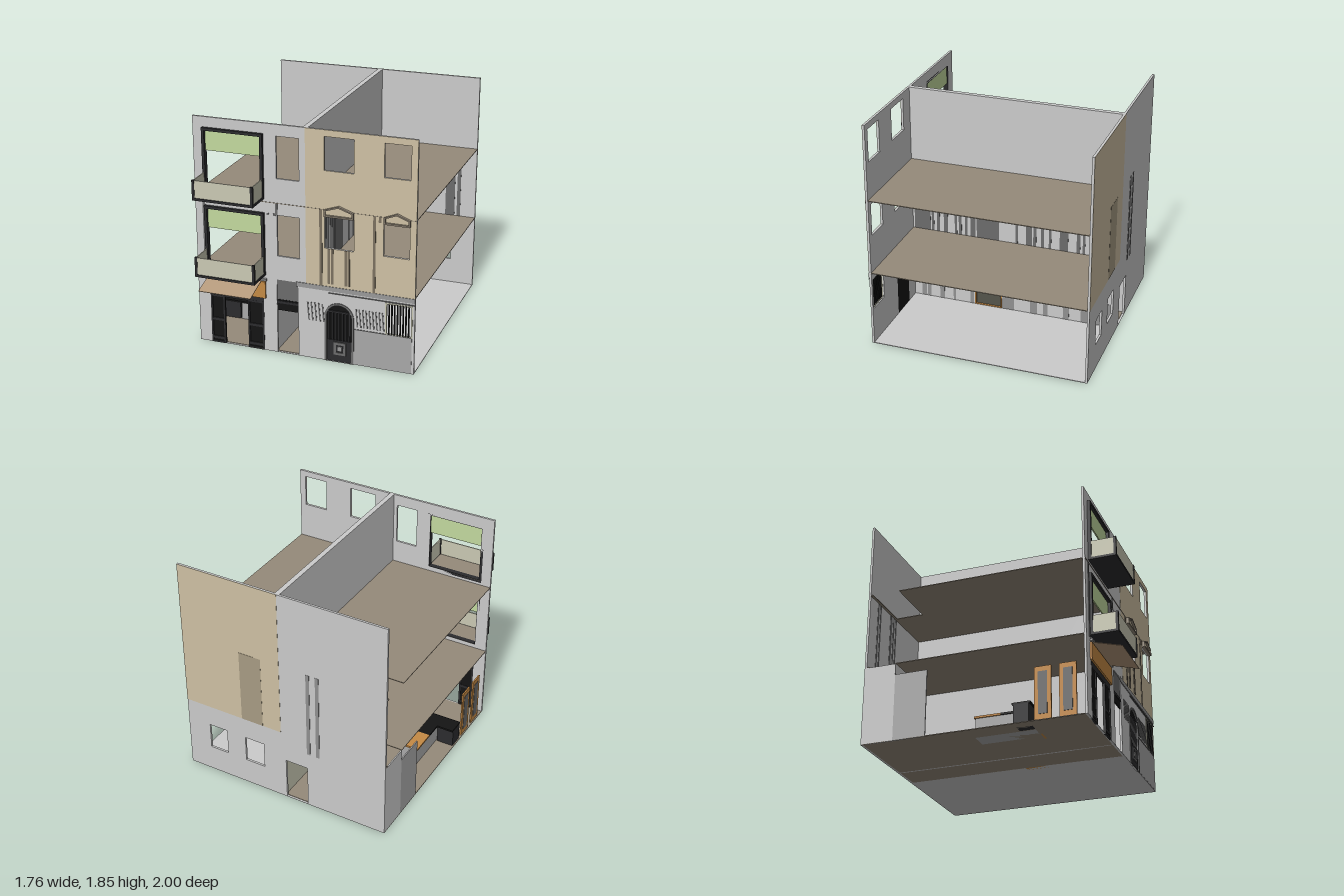
import * as THREE from 'three';

const GREY = 0xcccccc, TAN = 0xcfc1a4, BROWN = 0x958a7a, DARK = 0x2c2c2e, BLACK = 0x141414;
const GREEN = 0xc3da9f, CREAM = 0xcac9b4, ORANGE = 0xc58a45, SHADE = 0x6c6c6c, OLIVE = 0x54544a;
const mats = {};
const mat = (c) => (mats[c] ??= new THREE.MeshStandardMaterial({ color: c, side: THREE.DoubleSide, flatShading: true }));

export function createModel() {
  const model = new THREE.Group();

  const add = (name, geo, color, parent = model) => {
    const m = new THREE.Mesh(geo, mat(color));
    m.name = name;
    parent.add(m);
    return m;
  };
  // box given by its min and max on each axis
  const box = (name, x0, x1, y0, y1, z0, z1, color = GREY, parent = model) => {
    const m = add(name, new THREE.BoxGeometry(x1 - x0, y1 - y0, z1 - z0), color, parent);
    m.position.set((x0 + x1) / 2, (y0 + y1) / 2, (z0 + z1) / 2);
    return m;
  };
  const rectPath = (x0, x1, y0, y1, Type = THREE.Path) => {
    const p = new Type();
    p.moveTo(x0, y0); p.lineTo(x1, y0); p.lineTo(x1, y1); p.lineTo(x0, y1); p.closePath();
    return p;
  };
  const archPath = (x, r, y0, yc, Type = THREE.Path) => {
    const p = new Type();
    p.moveTo(x - r, y0); p.lineTo(x + r, y0); p.lineTo(x + r, yc);
    p.absarc(x, yc, r, 0, Math.PI, false);
    p.closePath();
    return p;
  };
  const extrude = (name, shape, z0, depth, color, parent = model) => {
    const m = add(name, new THREE.ExtrudeGeometry(shape, { depth, bevelEnabled: false, curveSegments: 12 }), color, parent);
    m.position.z = z0;
    return m;
  };
  // upright wall with openings
  const wall = (name, [x0, x1, y0, y1], holes, z0, depth, color) => {
    const s = rectPath(x0, x1, y0, y1, THREE.Shape);
    s.holes.push(...holes);
    return extrude(name, s, z0, depth, color);
  };
  const rects = (list) => list.map((r) => rectPath(...r));
  const frame = (name, x0, x1, y0, y1, t, z0, depth, color, parent) => {
    const s = rectPath(x0, x1, y0, y1, THREE.Shape);
    s.holes.push(rectPath(x0 + t, x1 - t, y0 + t, y1 - t));
    return extrude(name, s, z0, depth, color, parent);
  };

  // front wall: grey body with a tan skin on the upper half of the +x house
  const tanWindows = [[0.17, 0.4, 1.54, 1.8], [0.63, 0.83, 1.54, 1.8], [0.17, 0.4, 0.93, 1.19], [0.63, 0.83, 0.93, 1.19]];
  const greyOpenings = [
    [-0.78, -0.33, 1.28, 1.75], [-0.78, -0.33, 0.66, 1.13],
    [-0.21, -0.03, 1.43, 1.76], [-0.21, -0.03, 0.81, 1.14],
    [-0.78, -0.33, 0.002, 0.45], [-0.22, -0.045, 0.002, 0.615], [0.66, 0.855, 0.3, 0.555],
  ];
  wall('frontWall', [-0.88, 0.88, 0, 1.85], [...rects([...tanWindows, ...greyOpenings]), archPath(0.285, 0.112, 0.002, 0.375)], 0.745, 0.018, GREY);
  wall('frontTanRender', [0.02, 0.88, 0.62, 1.85], rects(tanWindows), 0.763, 0.002, TAN);

  // back wall with two windows and the passage door
  wall('backWall', [-0.88, 0.88, 0, 1.85], rects([[0.52, 0.68, 0.22, 0.44], [0.18, 0.35, 0.22, 0.44], [-0.21, -0.02, 0.002, 0.36]]), -0.998, 0.018, GREY);
  box('backTanRender', 0.02, 0.88, 0.62, 1.85, -1, -0.998, TAN);

  // party wall, turned to run along z, with a doorway
  const party = wall('partyWall', [-0.745, 0.98, 0, 1.85], rects([[-0.205, 0.02, 0.002, 0.36]]), 0, 0.04, GREY);
  party.rotation.y = Math.PI / 2;
  frame('sideDoorFrame', -0.21, 0.025, 0, 0.365, 0.01, 0, 0.044, ORANGE).rotation.y = Math.PI / 2;
  box('sideDoor', 0.012, 0.026, 0.002, 0.36, -0.02, 0.205, OLIVE);
  box('passageLining', -0.003, -0.001, 0, 0.6, -0.97, -0.03, CREAM);
  box('passageWall', -0.245, -0.23, 0, 0.62, -0.98, 0.745);

  // ground slab and two upper floors with a stair opening in the back corner
  box('shopFloor', -0.88, 0.02, 0, 0.006, -0.98, 0.745, BROWN);
  box('houseFloor', 0.02, 0.88, 0, 0.006, -0.98, 0.745);
  for (const y of [0.62, 1.235]) {
    const s = new THREE.Shape();
    [[-0.88, -0.745], [0.88, -0.745], [0.88, 0.98], [-0.88, 0.98], [-0.88, 0.96], [-0.45, 0.96], [-0.45, 0.74], [-0.88, 0.74]]
      .forEach(([x, z], i) => (i ? s.lineTo(x, z) : s.moveTo(x, z)));
    const f = extrude('upperFloor', s, 0, 0.006, BROWN);
    f.rotation.x = -Math.PI / 2;
    f.position.y = y;
  }

  // balconies, each with its dark window frame and green blind
  for (const y of [0.64, 1.26]) {
    const b = new THREE.Group();
    b.name = 'balcony';
    b.position.y = y;
    model.add(b);
    frame('windowFrame', -0.8, -0.31, 0, 0.51, 0.022, 0.745, 0.043, DARK, b);
    box('blind', -0.778, -0.332, 0.33, 0.488, 0.755, 0.765, GREEN, b);
    box('balconyBase', -0.8, -0.31, 0, 0.018, 0.76, 0.98, DARK, b);
    box('balconyFloor', -0.78, -0.33, 0.018, 0.021, 0.745, 0.965, BROWN, b);
    box('frontPanel', -0.78, -0.33, 0.02, 0.158, 0.968, 0.976, CREAM, b);
    for (const x of [-0.8, -0.33]) {
      box('cornerPost', x, x + 0.02, 0, 0.16, 0.96, 0.98, DARK, b);
      box('sidePanel', x + 0.006, x + 0.014, 0.018, 0.158, 0.785, 0.962, CREAM, b);
    }
  }

  // pediments over the first-floor windows of the tan house
  for (const [x0, x1] of [[0.17, 0.4], [0.635, 0.835]]) {
    const outline = (t, Type) => {
      const p = new Type();
      p.moveTo(x0 + t, 1.187 + t); p.lineTo(x1 - t, 1.187 + t); p.lineTo(x1 - t, 1.238 - t / 2);
      p.lineTo((x0 + x1) / 2, 1.278 - t); p.lineTo(x0 + t, 1.238 - t / 2); p.closePath();
      return p;
    };
    const s = outline(0, THREE.Shape);
    s.holes.push(outline(0.012, THREE.Path));
    extrude('pedimentFrame', s, 0.76, 0.028, BROWN);
    extrude('pedimentField', outline(0.01, THREE.Shape), 0.765, 0.004, TAN);
  }

  // pipes, string course and ground-floor cornice
  for (const [x, y0, y1, w] of [[-0.82, 0.62, 1.235, 0.022], [-0.222, 1.14, 1.235, 0.018], [0.13, 0.62, 1.235, 0.022],
    [0.55, 0.62, 1.235, 0.02], [0.592, 1.19, 1.235, 0.02], [0.195, 0.645, 0.93, 0.018], [0.222, 0.645, 0.93, 0.018],
    [0.33, 0.645, 0.93, 0.018], [0.352, 0.645, 0.93, 0.018]]) {
    box('wallPipe', x, x + w, y0, y1, 0.764, 0.768, x > 0 ? 0x7b7060 : SHADE);
  }
  for (const x of [-0.29, -0.24]) box('pipeBracket', x, x + 0.018, 1.135, 1.15, 0.76, 0.77, SHADE);
  box('stringCourse', -0.88, 0.88, 1.234, 1.238, 0.763, 0.767, BROWN);
  box('cornice', -0.06, 0.88, 0.585, 0.622, 0.763, 0.769, 0x999999);
  box('corniceLip', 0.2, 0.88, 0.565, 0.572, 0.763, 0.771, SHADE);

  // shop front: glazed doors, transom, sign board and awning
  for (const [x0, x1] of [[-0.78, -0.66], [-0.465, -0.33]]) {
    box('shopDoorGlass', x0, x1, 0, 0.41, 0.748, 0.756, BLACK);
    frame('shopDoorFrame', x0, x1, 0, 0.41, 0.014, 0.745, 0.02, DARK);
    for (const y of [0.03, 0.19]) box('shopDoorRail', x0, x1, y, y + 0.022, 0.745, 0.763, DARK);
  }
  box('transom', -0.78, -0.33, 0.4, 0.45, 0.747, 0.764, DARK);
  box('signBoard', -0.8, -0.31, 0.447, 0.585, 0.763, 0.778, ORANGE);
  const awning = box('awning', -0.77, -0.34, -0.002, 0.002, -0.12, 0.12, 0xb59a7c);
  awning.position.set(-0.555, 0.565, 0.883);
  awning.rotation.x = Math.atan2(0.065, 0.23);
  box('awningRoller', -0.8, -0.3, 0.595, 0.612, 0.763, 0.785, 0x999999);

  // passage doorway, open below a panelled light
  box('passagePanel', -0.22, -0.045, 0.45, 0.615, 0.748, 0.756, SHADE);
  box('passageLight', -0.22, -0.045, 0.36, 0.45, 0.748, 0.758, BLACK);
  box('passageRail', -0.22, -0.045, 0.42, 0.44, 0.75, 0.764, DARK);

  // arched door with bars and a raised square ornament
  const ring = archPath(0.285, 0.118, 0, 0.375, THREE.Shape);
  ring.holes.push(archPath(0.285, 0.1, 0.001, 0.375));
  extrude('archSurround', ring, 0.755, 0.014, SHADE);
  extrude('archDoor', archPath(0.285, 0.112, 0, 0.375, THREE.Shape), 0.745, 0.008, BLACK);
  box('archDoorPanel', 0.185, 0.385, 0, 0.18, 0.753, 0.76, DARK);
  box('archDoorRail', 0.185, 0.385, 0.41, 0.425, 0.753, 0.764, DARK);
  for (let i = 0; i < 7; i++) {
    const x = 0.204 + i * 0.027;
    box('archDoorBar', x - 0.004, x + 0.004, 0.18, 0.42, 0.753, 0.762, DARK);
  }
  frame('ornamentFrame', 0.24, 0.34, 0.06, 0.165, 0.02, 0.76, 0.008, SHADE);
  box('ornamentBoss', 0.273, 0.307, 0.095, 0.13, 0.76, 0.766, 0x999999);

  // barred window and sill band of the tan house
  frame('barredWindowFrame', 0.65, 0.865, 0.295, 0.56, 0.012, 0.755, 0.012, CREAM);
  for (let i = 0; i < 8; i++) {
    const x = 0.68 + i * 0.022;
    box('windowBar', x - 0.005, x + 0.005, 0.3, 0.555, 0.758, 0.768, BLACK);
  }
  box('plinth', 0.405, 0.86, 0.006, 0.295, 0.762, 0.765, 0xa8a8a8);
  box('plinthCap', 0.405, 0.86, 0.295, 0.301, 0.762, 0.768, SHADE);
  // slanted flutes either side of the arch
  for (let i = 0; i < 14; i++) {
    const x = i < 5 ? 0.03 + i * 0.03 : 0.42 + (i - 5) * 0.026;
    box('wallFlute', x, x + 0.011, 0.32, 0.47, 0.762, 0.766, SHADE).rotation.z = 0.08;
  }

  // shop interior: side wall, L-shaped counter and plank doors
  box('shopSideWall', -0.88, -0.87, 0, 0.62, -0.98, -0.74);
  box('shopSideScreen', -0.88, -0.87, 0, 0.53, -0.74, -0.48, 0xaaaaaa);
  box('counterBody', -0.72, -0.58, 0, 0.15, -0.15, 0.32, 0xaaaaaa);
  box('counterTop', -0.73, -0.57, 0.15, 0.165, 0.05, 0.33, BLACK);
  box('woodCounterTop', -0.73, -0.57, 0.15, 0.165, -0.16, 0.05, ORANGE);
  box('counterReturn', -0.87, -0.73, 0, 0.15, 0.2, 0.32, DARK);
  box('counterReturnTop', -0.87, -0.73, 0.15, 0.165, 0.19, 0.33, BLACK);
  box('counterFront', -0.64, -0.53, 0, 0.11, 0.32, 0.335, ORANGE);
  for (const z of [0.36, 0.55]) {
    box('plankDoor', -0.87, -0.858, 0, 0.42, z, z + 0.13, ORANGE);
    box('plankDoorPane', -0.873, -0.855, 0.05, 0.38, z + 0.03, z + 0.1, SHADE);
  }

  // darker upright strips along the party wall
  const upper = [[0.59, 0.73], [0.56, 0.58], [0.51, 0.535], [0.44, 0.475], [0.36, 0.38], [0.32, 0.345], [0.27, 0.29], [0.2, 0.245],
    [0, 0.19], [-0.16, -0.14], [-0.28, -0.23], [-0.315, -0.29], [-0.38, -0.355], [-0.44, -0.42], [-0.58, -0.51],
    [-0.68, -0.65], [-0.72, -0.7], [-0.82, -0.78], [-0.865, -0.845], [-0.94, -0.92]];
  for (const [a, b] of upper) box('upperWallStrip', 0.04, 0.042, 0.627, 1.234, a, b, SHADE);
  const lower = [[0.64, 0.68, 0.47], [0.6, 0.63, 0.21], [0.48, 0.52, 0.21], [0.38, 0.4, 0.21], [0.22, 0.25, 0.21], [-0.13, -0.03, 0.21],
    [-0.33, -0.27, 0.21], [-0.42, -0.38, 0.21], [-0.6, -0.55, 0.21], [-0.76, -0.7, 0.21], [-0.86, -0.81, 0.21], [-0.97, -0.92, 0.21]];
  for (const [a, b, h] of lower) box('lowerWallStrip', 0.04, 0.042, 0.006, h, a, b, 0x909090);
  box('beigePanel', 0.04, 0.042, 0.22, 0.48, -0.49, -0.43, TAN);
  box('doorHead', 0.04, 0.042, 0.37, 0.62, -0.02, 0.09, 0x808080);

  // strips and panels on both faces of the back wall
  for (const [a, b] of [[0.62, 0.7], [0.72, 0.75], [-0.75, -0.73], [-0.71, -0.69], [-0.53, -0.5], [-0.48, -0.46], [-0.44, -0.42]]) {
    box('backInnerStrip', a, b, 0.627, 1.234, -0.98, -0.978, SHADE);
  }
  box('backPanel', 0.18, 0.37, 0.62, 1.235, -1.001, -0.999, 0xa89c84);
  for (const x of [-0.24, -0.32]) box('backPipe', x, x + 0.03, 0.5, 1.235, -1.001, -0.998, 0x909090);

  return model;
}
